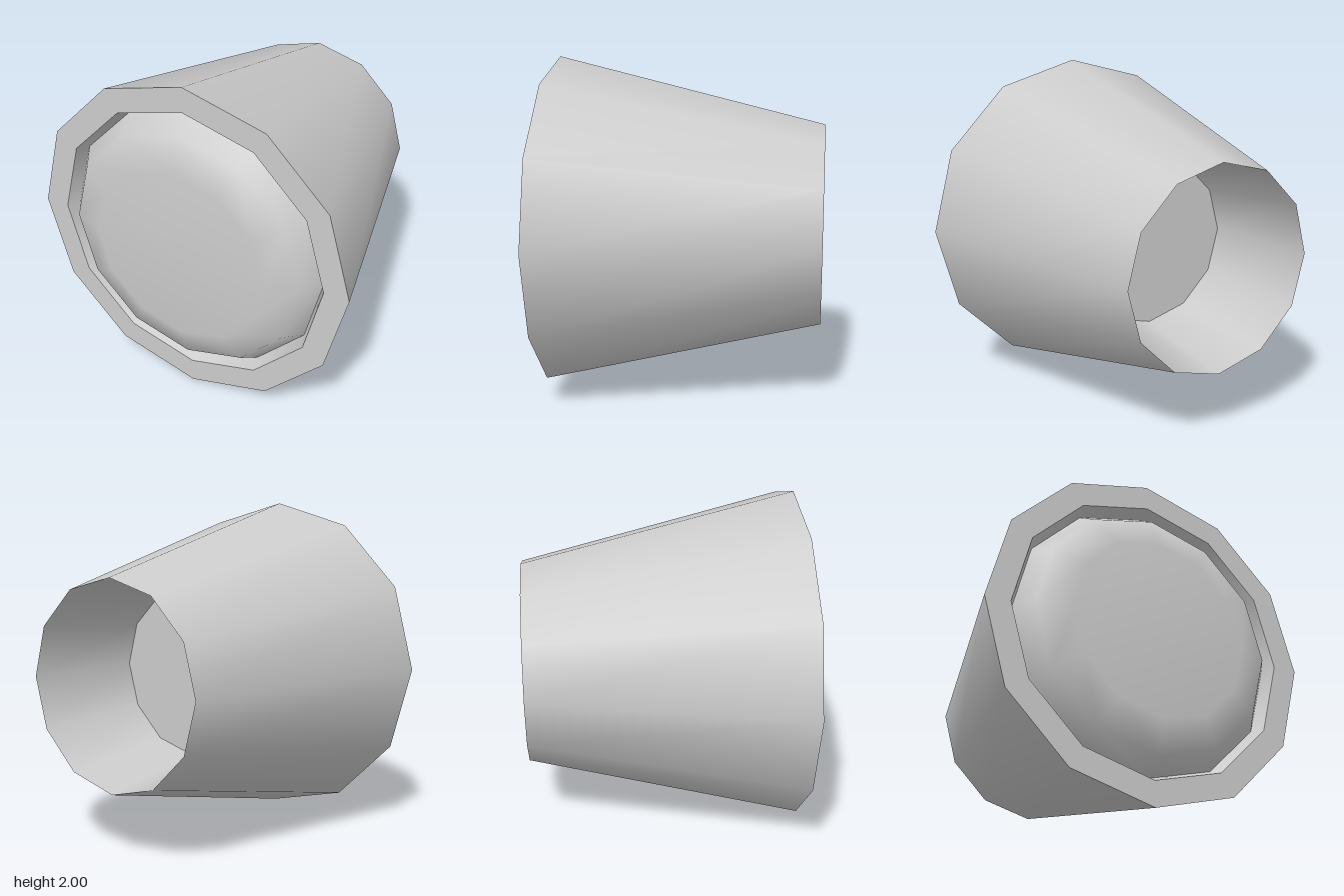
import * as THREE from 'three';

const SIDES = 12;
const material = new THREE.MeshStandardMaterial({ color: 0xcccccc, side: THREE.DoubleSide });

// Revolve a profile of [radius, z] points around the z axis, centred at y = 1
function revolve(name, profile) {
  const geometry = new THREE.LatheGeometry(profile.map(([r, z]) => new THREE.Vector2(r, z)), SIDES);
  geometry.rotateX(Math.PI / 2);
  geometry.translate(0, 1, 0);
  const mesh = new THREE.Mesh(geometry, material);
  mesh.name = name;
  return mesh;
}

export function createModel() {
  const group = new THREE.Group();
  group.name = 'lampHead';

  group.add(
    // Tapered housing and its flat front rim
    revolve('housing', [[0.61, -0.855], [1, 0.745]]),
    revolve('frontRim', [[1, 0.745], [0.85, 0.745]]),
    revolve('rimRecess', [[0.85, 0.745], [0.815, 0.665]]),
    // Domed lens with a flat centre
    revolve('lens', [[0.815, 0.665], [0.73, 0.79], [0.54, 0.855], [0, 0.855]]),
    // Socket opening at the back
    revolve('socketWall', [[0.515, -0.155], [0.61, -0.855]]),
    revolve('socketFloor', [[0, -0.155], [0.515, -0.155]]),
  );
  return group;
}
